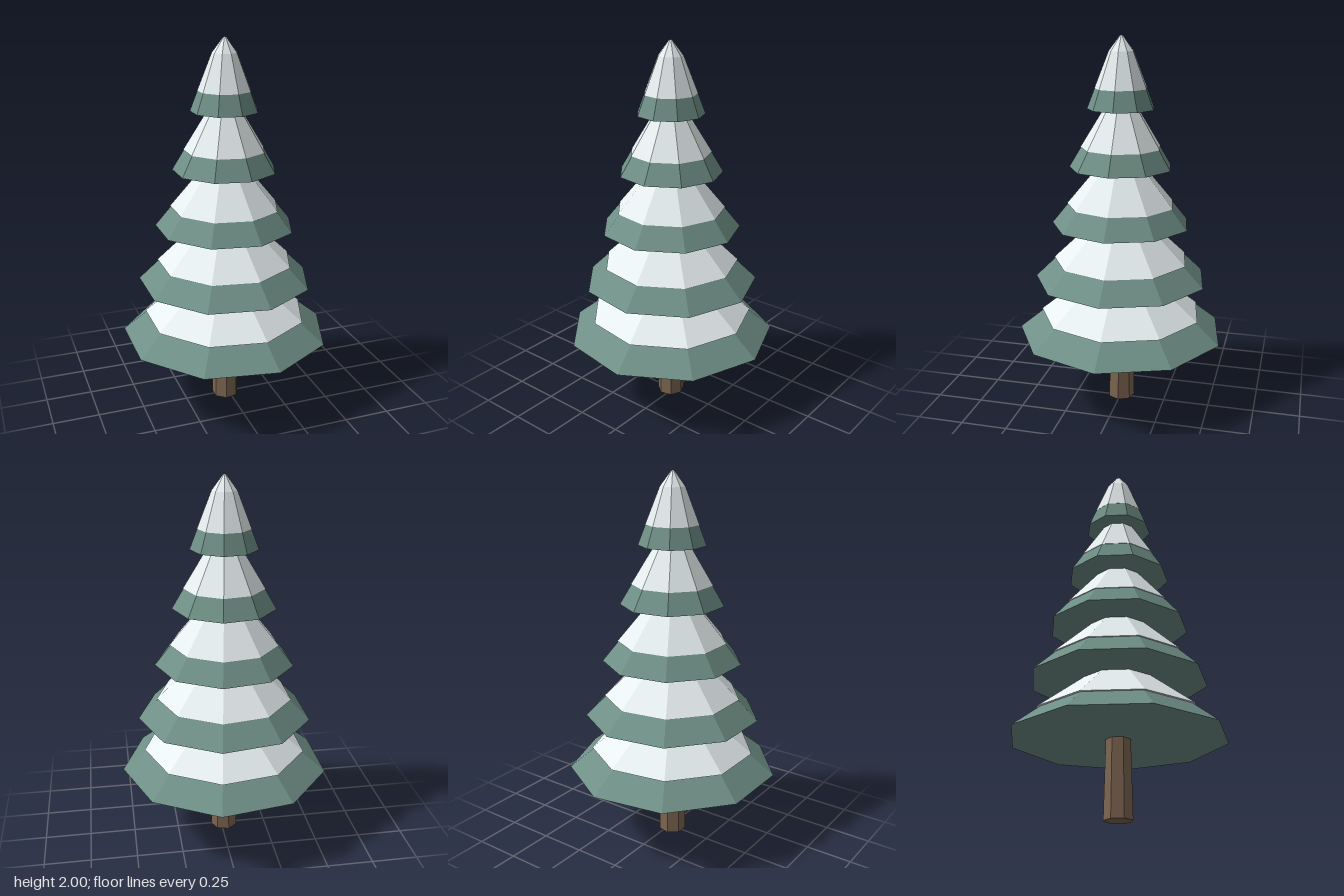
import * as THREE from 'three';

const SIDES = 9;

const material = (color) => new THREE.MeshStandardMaterial({ color, flatShading: true });

// Faceted solid turned around y, with one corner pointing to +x
function turned(name, points, sides, mat) {
  const profile = points.map(([r, y]) => new THREE.Vector2(r, y));
  const mesh = new THREE.Mesh(new THREE.LatheGeometry(profile, sides, Math.PI / 2), mat);
  mesh.name = name;
  return mesh;
}

export function createModel() {
  const tree = new THREE.Group();
  tree.name = 'snowyTree';
  const bark = material(0x7d6550);
  const needles = material(0x6f8f86);
  const snow = material(0xe6eef0);

  // Seven-sided tapering trunk
  tree.add(turned('trunk', [[0, 0], [0.0745, 0], [0.064, 0.42], [0, 0.42]], 7, bark));

  // Five tiers of branches, each under a slightly overhanging snow cap
  const tiers = 5;
  for (let i = 0; i < tiers; i++) {
    const y = 0.402 + i * 0.307;
    const r = 0.565 - i * 0.0967;
    const capY = 0.514 + i * 0.305;
    const capR = 0.442 - i * 0.0757;
    const top = i === tiers - 1;

    const tier = new THREE.Group();
    tier.name = `tier${i + 1}`;

    // Branch skirt: truncated cone that narrows inside the snow
    tier.add(turned('branches', [[0, y], [r, y], [r * 0.5, y + 0.23], [0, y + 0.23]], SIDES, needles));

    // Snow cap: the topmost one closes in a blunt tip
    const cap = [[0, capY], [capR, capY]];
    if (top) cap.push([0.065, 1.922], [0.01, 1.995], [0, 2]);
    else cap.push([capR * 0.32, capY + 0.238], [0, capY + 0.238]);
    tier.add(turned('snowCap', cap, SIDES, snow));

    tree.add(tier);
  }

  // Odd-sided outline: shift so the bounds are centred on x
  tree.children.forEach((part) => { part.position.x = -0.018; });

  const model = new THREE.Group();
  model.add(tree);
  return model;
}
